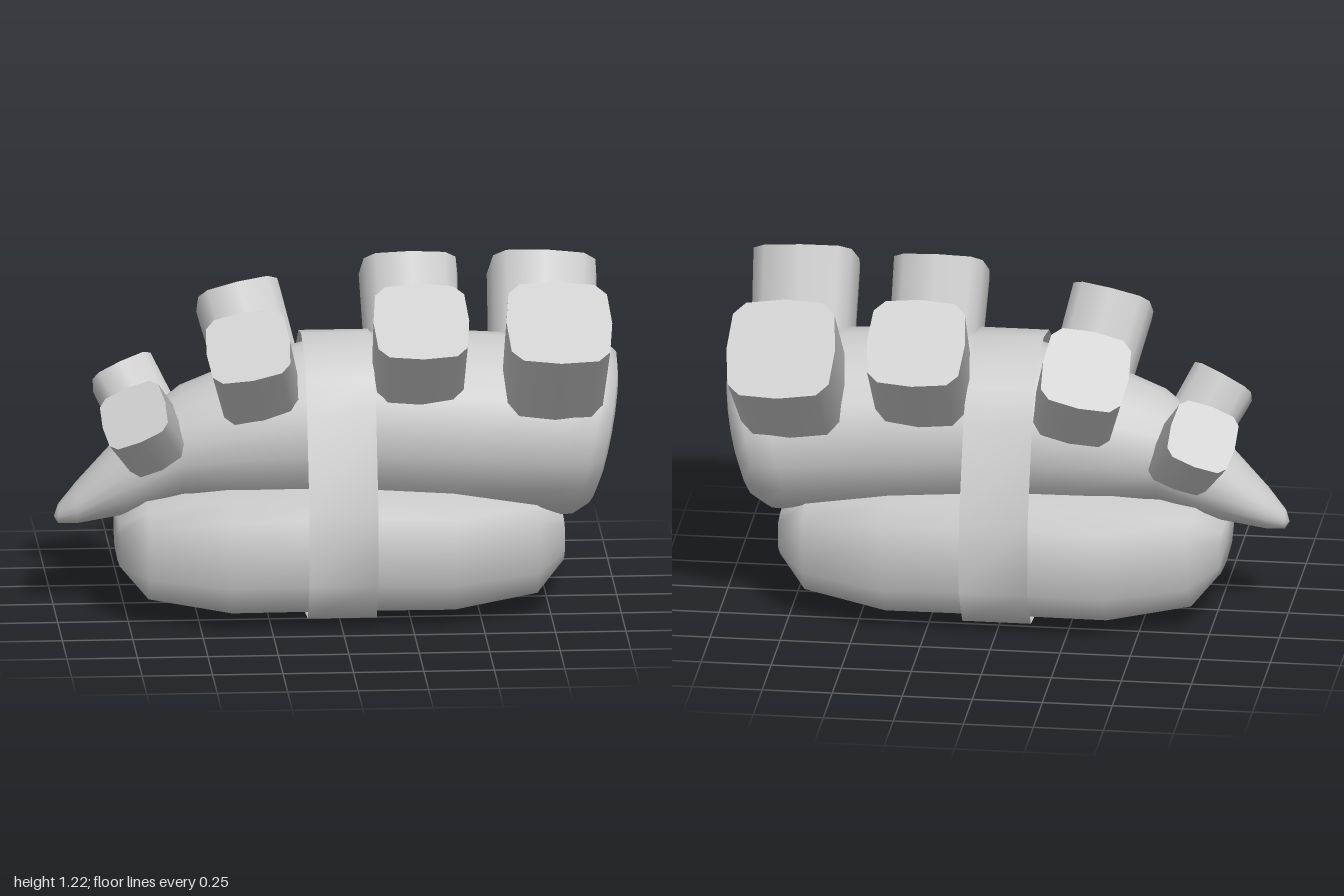
import * as THREE from 'three';

// Double sided because the band is an open strip
const grey = new THREE.MeshStandardMaterial({ color: 0xcccccc, side: THREE.DoubleSide });
grey.name = 'plain grey';
const MID_Z = 0.037;

function part(name, geometry) {
  const mesh = new THREE.Mesh(geometry, grey);
  mesh.name = name;
  return mesh;
}

// Full outline from its +z half, listed from top to bottom as [z, y]
const mirrored = (half) => [...half, ...half.slice(1, -1).reverse().map(([z, y]) => [-z, y])];

// Smooth skin over rings ordered along +x, each ring running from +y towards +z; poles close the ends
function loft(rings, poles = []) {
  const n = rings[0].length;
  const start = rings.length * n;
  const last = start - n;
  const index = [];
  for (let j = 0; j < n; j++) {
    const k = (j + 1) % n;
    for (let i = 0; i < rings.length - 1; i++) {
      const a = i * n + j, c = i * n + k;
      index.push(a, c, a + n, c, c + n, a + n);
    }
    if (poles.length) index.push(start, k, j, start + 1, last + j, last + k);
  }
  const g = new THREE.BufferGeometry();
  g.setAttribute('position', new THREE.Float32BufferAttribute([...rings.flat(2), ...poles.flat()], 3));
  g.setIndex(index);
  g.computeVertexNormals();
  return g;
}

// Chunky rice block: one cross-section scaled along x
function riceBlock() {
  const profile = mirrored([[0, 1], [0.72, 0.96], [0.98, 0.86], [1, 0.34], [0.75, 0.085], [0, 0]]);
  // x, half width, bottom, top
  const rows = [
    [-0.775, 0.205, 0.17, 0.34], [-0.68, 0.332, 0.058, 0.42], [-0.39, 0.455, 0.018, 0.475],
    [0, 0.455, 0.018, 0.495], [0.4, 0.455, 0.018, 0.475], [0.7, 0.332, 0.058, 0.42], [0.8, 0.205, 0.17, 0.34],
  ];
  const rings = rows.map(([x, w, lo, hi]) =>
    profile.map(([z, y]) => [x, lo + y * (hi - lo), MID_Z + z * w]));
  return loft(rings, [[-0.778, 0.25, MID_Z], [0.803, 0.25, MID_Z]]);
}

// Tapering tentacle with a slanted, softly bevelled cut end
function tentacle() {
  // x, centre y, radius y, radius z, lean
  const rows = [
    [-0.985, 0.342, 0.034, 0.035, 0], [-0.92, 0.382, 0.073, 0.085, 0], [-0.75, 0.49, 0.15, 0.15, 0],
    [-0.55, 0.6, 0.2, 0.205, 0], [-0.3, 0.64, 0.26, 0.265, 0], [0, 0.675, 0.303, 0.315, 0],
    [0.4, 0.66, 0.32, 0.34, 0.05], [0.8, 0.635, 0.315, 0.353, 0.2],
    [0.89, 0.631, 0.308, 0.345, 0.2], [0.942, 0.63, 0.27, 0.305, 0.2], [0.957, 0.63, 0.215, 0.245, 0.2],
  ];
  const n = 18;
  const rings = rows.map(([x, cy, ry, rz, lean]) => Array.from({ length: n }, (_, j) => {
    const a = (j / n) * Math.PI * 2;
    const dy = ry * Math.cos(a);
    return [x + lean * dy, cy + dy, MID_Z + rz * Math.sin(a)];
  }));
  return loft(rings, [[-1, 0.333, MID_Z], [0.962, 0.63, MID_Z]]);
}

// Thin open strip wrapped around rice and tentacle
function band() {
  const outline = mirrored([
    [0, 0.988], [0.15, 0.96], [0.26, 0.885], [0.33, 0.77], [0.455, 0.44], [0.463, 0.18], [0.36, 0.038], [0, 0],
  ]);
  return loft([-0.1225, 0.1225].map((x) => outline.map(([z, y]) => [x, y, MID_Z + z])));
}

// Squarish stub with its cap at the given centre
function sucker(cap, dir, radius, length) {
  const g = new THREE.CylinderGeometry(1, 0.93, length, 12);
  const p = g.attributes.position;
  const square = (v) => Math.sign(v) * Math.abs(v) ** 0.5 * radius;
  for (let i = 0; i < p.count; i++) p.setXYZ(i, square(p.getX(i)), p.getY(i), square(p.getZ(i)));
  g.translate(0, -length / 2, 0);
  const mesh = part('sucker', g);
  mesh.position.set(...cap);
  mesh.quaternion.setFromUnitVectors(new THREE.Vector3(0, 1, 0), new THREE.Vector3(...dir).normalize());
  return mesh;
}

export function createModel() {
  const model = new THREE.Group();
  model.name = 'tentacleOnRice';
  model.add(part('rice', riceBlock()), part('tentacle', tentacle()), part('band', band()));

  // Two rows of suckers shrinking towards the tip: cap centre, direction, radius, length
  const rows = {
    frontSuckers: [
      [[0.77, 1.108, 0.402], [0.03, 0.81, 0.58], 0.188, 0.33],
      [[0.283, 1.11, 0.362], [0, 0.8, 0.6], 0.17, 0.3],
      [[-0.33, 1.022, 0.335], [-0.18, 0.74, 0.62], 0.15, 0.29],
      [[-0.73, 0.757, 0.255], [-0.4, 0.66, 0.6], 0.122, 0.23],
    ],
    backSuckers: [
      [[0.76, 1.065, -0.402], [0.05, 0.72, -0.69], 0.195, 0.34],
      [[0.283, 1.095, -0.362], [0, 0.75, -0.66], 0.175, 0.32],
      [[-0.32, 1.01, -0.33], [-0.2, 0.71, -0.66], 0.155, 0.3],
      [[-0.73, 0.755, -0.27], [-0.37, 0.62, -0.67], 0.122, 0.25],
    ],
  };
  for (const [name, list] of Object.entries(rows)) {
    const row = new THREE.Group();
    row.name = name;
    for (const spec of list) row.add(sucker(...spec));
    model.add(row);
  }
  return model;
}
